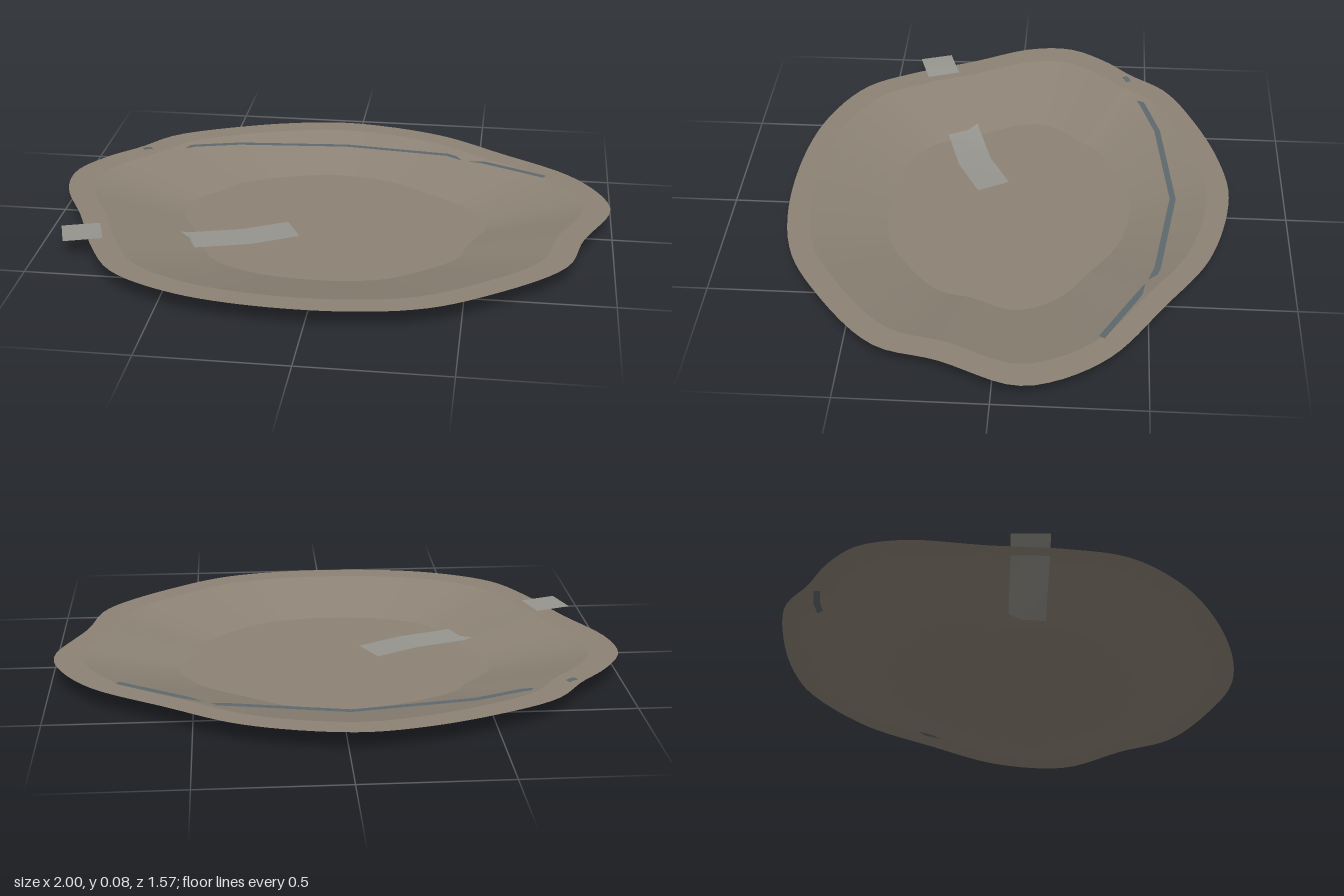
import * as THREE from 'three';
import { toCreasedNormals } from 'three/addons/utils/BufferGeometryUtils.js';

const material = (color) => new THREE.MeshStandardMaterial({ color, side: THREE.DoubleSide });

// Surface through rows of points; closed rows join their ends
function loft(rows, closed) {
  const n = rows[0].length;
  const index = [];
  for (let r = 0; r < rows.length - 1; r++) {
    for (let i = 0; i < (closed ? n : n - 1); i++) {
      const a = r * n + i, b = r * n + (i + 1) % n;
      index.push(a, a + n, b, b, a + n, b + n);
    }
  }
  const geometry = new THREE.BufferGeometry().setFromPoints(rows.flat());
  geometry.setIndex(index);
  geometry.computeVertexNormals();
  return geometry;
}

// Thin flat band of constant width along a path
function ribbon(path, width) {
  const points = path.map((p) => new THREE.Vector3(...p));
  const left = [], right = [];
  points.forEach((p, i) => {
    const before = points[Math.max(i - 1, 0)];
    const after = points[Math.min(i + 1, points.length - 1)];
    const side = new THREE.Vector3(after.z - before.z, 0, before.x - after.x).setLength(width / 2);
    left.push(p.clone().add(side));
    right.push(p.clone().sub(side));
  });
  return loft([left, right], false);
}

// Wavy outline of the rim, as x, z
const outline = [
  [-0.02, -0.79], [0.33, -0.71], [0.59, -0.55], [0.85, -0.37], [0.97, -0.19], [0.99, -0.07],
  [0.89, 0.18], [0.85, 0.35], [0.79, 0.44], [0.6, 0.6], [0.4, 0.72], [0.16, 0.775],
  [-0.18, 0.775], [-0.45, 0.72], [-0.67, 0.6], [-0.78, 0.43], [-0.88, 0.2], [-0.99, -0.03],
  [-1, -0.19], [-0.92, -0.33], [-0.815, -0.44], [-0.71, -0.57], [-0.5, -0.68], [-0.24, -0.765],
];

export function createModel() {
  const group = new THREE.Group();
  const add = (name, geometry, color) => {
    const mesh = new THREE.Mesh(geometry, material(color));
    mesh.name = name;
    group.add(mesh);
  };

  // Basin: flat floor, sloping wall and flat rim, all scaled from the outline
  const curve = new THREE.CatmullRomCurve3(outline.map(([x, z]) => new THREE.Vector3(x, 0, z)), true);
  const edge = curve.getSpacedPoints(120).slice(0, -1);
  const ring = (scale, y) => edge.map((p) => new THREE.Vector3(p.x * scale, y, p.z * scale));
  const rows = [ring(0.001, 0), ring(0.555, 0), ring(0.9, 0.077), ring(1, 0.077)];
  add('basin', toCreasedNormals(loft(rows, true), 0.15), 0x8c8275);

  // Strip lying on the floor, passing under the wall and out past the rim
  add('outletStrip', ribbon([
    [-0.135, 0.006, 0.065], [-0.29, 0.006, 0.147], [-0.485, 0.008, 0.205],
    [-0.78, 0.078, 0.31], [-0.905, 0.078, 0.35],
  ], 0.125), 0x96948e);

  // Narrow line along the back wall, dipping under it in places
  add('backLine', ribbon([
    [-0.8, 0.08, -0.415], [-0.78, 0.08, -0.425], [-0.71, 0.062, -0.455], [-0.61, 0.074, -0.485],
    [-0.44, 0.069, -0.54], [-0.02, 0.062, -0.59], [0.38, 0.07, -0.53],
    [0.45, 0.062, -0.505], [0.52, 0.072, -0.47], [0.755, 0.08, -0.345],
  ], 0.022), 0x5e686c);

  return group;
}
